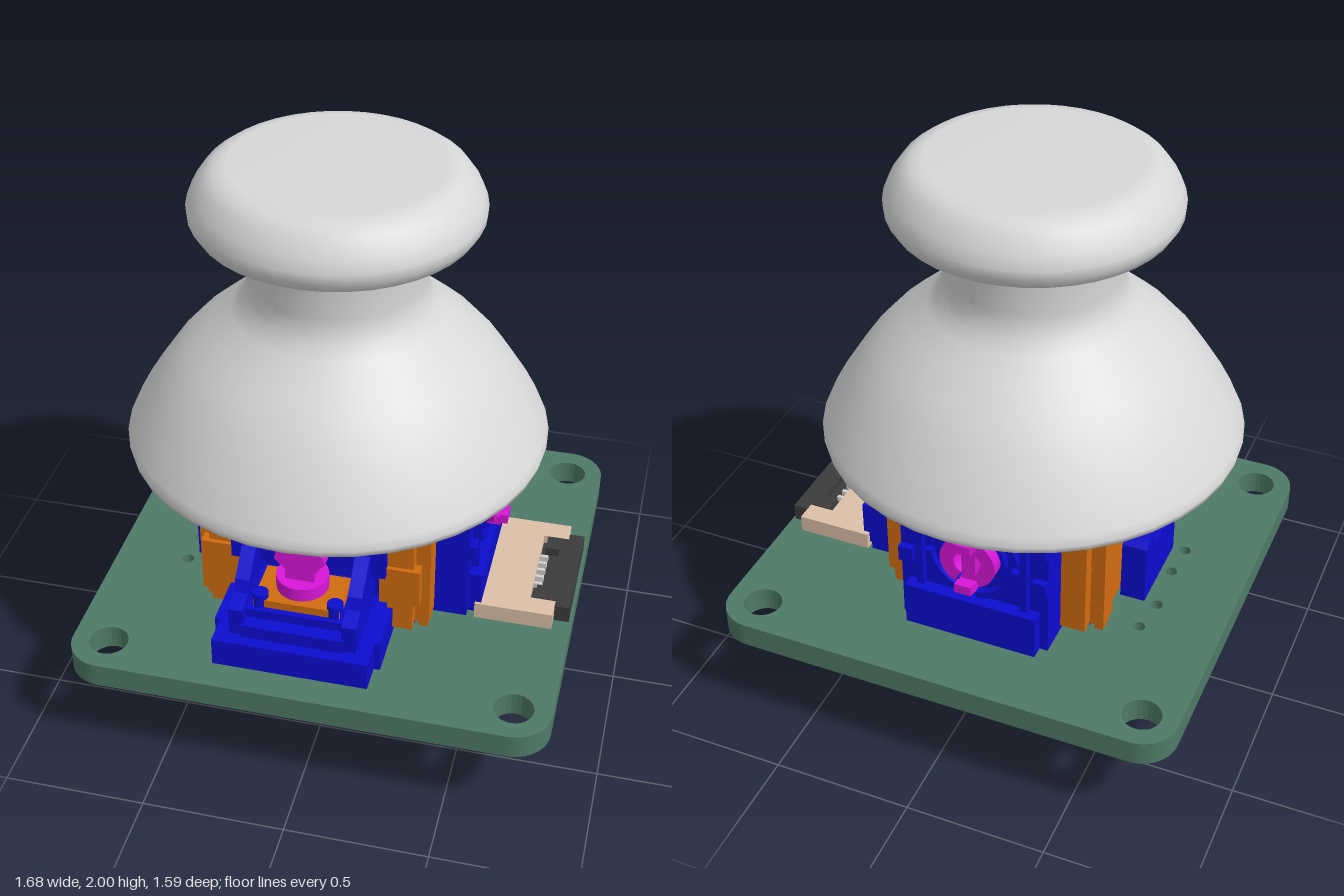
import * as THREE from 'three';

const mat = (name, color, side = THREE.FrontSide) => {
  const m = new THREE.MeshStandardMaterial({ color, side });
  m.name = name;
  return m;
};

export function createModel() {
  const grey = mat('cap grey', 0xd8d8d8, THREE.DoubleSide);
  const green = mat('board green', 0x4f7a66);
  const blue = mat('housing blue', 0x0c0cd0);
  const orange = mat('frame orange', 0xd06c10);
  const pink = mat('rotor magenta', 0xd816d8);
  const gold = mat('pin gold', 0xc0a03a);
  const beige = mat('connector beige', 0xdcc0a8);
  const black = mat('connector black', 0x3c3c3c);
  const silver = mat('terminal silver', 0xd2d2d2);

  const add = (parent, name, geo, material) => {
    const m = new THREE.Mesh(geo, material);
    m.name = name;
    parent.add(m);
    return m;
  };
  const box = (parent, name, material, x0, x1, y0, y1, z0, z1) => {
    const g = new THREE.BoxGeometry(x1 - x0, y1 - y0, z1 - z0);
    g.translate((x0 + x1) / 2, (y0 + y1) / 2, (z0 + z1) / 2);
    return add(parent, name, g, material);
  };
  const poly = pts => new THREE.Shape(pts.map(p => new THREE.Vector2(p[0], p[1])));
  const extrude = (shape, depth, curveSegments = 12) =>
    new THREE.ExtrudeGeometry(shape, { depth, bevelEnabled: false, curveSegments });
  const circle = (x, y, r) => new THREE.Path().absarc(x, y, r, 0, Math.PI * 2, true);
  // arc-shaped rib, standing out along +z
  const arcRib = (r0, r1, a0, a1, depth) => {
    const s = new THREE.Shape();
    s.absarc(0, 0, r1, a0, a1, false);
    s.absarc(0, 0, r0, a1, a0, true);
    s.closePath();
    return extrude(s, depth, 16);
  };

  const model = new THREE.Group();
  model.name = 'thumbstick module';

  // Circuit board with rounded corners, mounting holes and pin holes
  const W = 0.84, D = 0.797, R = 0.13;
  const b = new THREE.Shape();
  b.absarc(W - R, D - R, R, 0, Math.PI / 2);
  b.absarc(-W + R, D - R, R, Math.PI / 2, Math.PI);
  b.absarc(-W + R, -D + R, R, Math.PI, Math.PI * 1.5);
  b.absarc(W - R, -D + R, R, Math.PI * 1.5, Math.PI * 2);
  b.closePath();
  for (const x of [-0.71, 0.71]) for (const z of [-0.665, 0.665]) b.holes.push(circle(x, z, 0.068));
  for (const [x, z] of [[-0.56, -0.27], [-0.58, -0.14], [-0.57, 0.05], [-0.58, 0.18]])
    b.holes.push(circle(x, z, 0.022));
  const bg = extrude(b, 0.09);
  bg.rotateX(Math.PI / 2);
  bg.translate(0, 0.41, 0);
  add(model, 'board', bg, green);

  // Joystick, centred on its own axis
  const stick = new THREE.Group();
  stick.name = 'joystick';
  stick.position.x = -0.05;
  model.add(stick);

  // Cap: hollow dome, neck and knob in one profile
  const profile = [[0, 1.42], [0.3, 1.42], [0.42, 1.34], [0.53, 1.22], [0.61, 1.1], [0.66, 0.985],
    [0.675, 0.97], [0.705, 0.97], [0.728, 0.982], [0.733, 1.005], [0.72, 1.035], [0.68, 1.11], [0.63, 1.19],
    [0.575, 1.27], [0.51, 1.345], [0.43, 1.415], [0.36, 1.475], [0.325, 1.515], [0.308, 1.56], [0.304, 1.6],
    [0.304, 1.71], [0.312, 1.745], [0.335, 1.765], [0.38, 1.77], [0.425, 1.778], [0.465, 1.8], [0.486, 1.835],
    [0.488, 1.87], [0.47, 1.915], [0.435, 1.965], [0.4, 1.99], [0.355, 2], [0, 2]];
  add(stick, 'cap', new THREE.LatheGeometry(profile.map(p => new THREE.Vector2(p[0], p[1])), 40), grey);
  const shaft = new THREE.CylinderGeometry(0.12, 0.12, 0.42, 20);
  shaft.translate(0, 1.22, 0);
  add(stick, 'shaft', shaft, blue);

  // Core and sheet-metal frame
  box(stick, 'core', blue, -0.36, 0.36, 0.44, 1.05, -0.36, 0.36);
  box(stick, 'frameTop', orange, -0.385, 0.385, 1.05, 1.08, -0.385, 0.385);
  box(stick, 'frameLeftWall', orange, -0.4, -0.36, 0.47, 1.06, -0.36, 0.36);
  for (let i = 0; i < 4; i++) {
    const face = new THREE.Group();
    face.name = 'frameFace';
    face.rotation.y = i * Math.PI / 2;
    stick.add(face);
    for (const s of [-1, 1]) {
      const col = (name, a, c, y0, y1, z0, z1) =>
        box(face, name, orange, Math.min(s * a, s * c), Math.max(s * a, s * c), y0, y1, z0, z1);
      col('frameColumn', 0.27, 0.36, 0.45, 1.06, 0.35, 0.41);
      if (i === 0) col('frameTab', 0.245, 0.385, 0.57, 0.72, 0.38, 0.425);
    }
  }
  for (const x of [-0.385, 0.385]) for (const z of [-0.305, 0.305]) {
    box(stick, 'frameLeg', orange, x - 0.016, x + 0.016, 0.285, 1.05, z - 0.032, z + 0.032);
    box(stick, 'frameLegTip', orange, x - 0.012, x + 0.012, 0.26, 0.29, z - 0.022, z + 0.022);
  }

  // Silver terminal pin with a narrow tip
  const terminal = (parent, x, z, wide) => {
    box(parent, 'terminal', silver, x - wide, x + wide, 0.285, 0.46, z - 0.008, z + 0.008);
    box(parent, 'terminalTip', silver, x - wide * 0.6, x + wide * 0.6, 0.24, 0.285, z - 0.008, z + 0.008);
  };

  // Two sensors, on the +x and -z faces
  for (const [name, turn] of [['leftSensor', Math.PI / 2], ['backSensor', Math.PI]]) {
    const g = new THREE.Group();
    g.name = name;
    g.rotation.y = turn;
    stick.add(g);
    const body = extrude(poly([[-0.27, 0.43], [0.27, 0.43], [0.27, 0.97], [0.2, 1.03], [-0.2, 1.03], [-0.27, 0.97]]), 0.145);
    body.translate(0, 0, 0.38);
    add(g, 'sensorBody', body, blue);
    box(g, 'sensorBase', blue, -0.24, 0.24, 0.43, 0.595, 0.4, 0.572);
    for (const s of [-1, 1]) {
      for (const y of [0.68, 0.84]) box(g, 'sensorClip', blue, s * 0.245 - 0.025, s * 0.245 + 0.025, y, y + 0.06, 0.5, 0.55);
      box(g, 'sensorRib', blue, s * 0.19 - 0.012, s * 0.19 + 0.012, 0.6, 0.97, 0.52, 0.55);
    }
    const dial = new THREE.Group();
    dial.name = 'sensorDial';
    dial.position.set(0, 0.775, 0.52);
    g.add(dial);
    for (let k = 0; k < 4; k++) {
      const a = k * Math.PI / 2 + 0.1;
      add(dial, 'outerRing', arcRib(0.145, 0.17, a, a + 1.37, 0.03), blue);
    }
    add(dial, 'innerRing', arcRib(0.11, 0.125, 0, Math.PI * 2 - 0.001, 0.03), blue);
    // Magenta rotor: curved lips and a centre bar
    for (const a of [0, Math.PI])
      add(dial, 'rotorLip', arcRib(0.05, 0.1, a - 1.1, a + 1.1, 0.06), pink);
    for (const s of [-1, 1]) {
      box(dial, 'rotorHook', pink, -0.03, 0.03, s * 0.095 - 0.018, s * 0.095 + 0.018, 0, 0.075);
      box(dial, 'rotorHookEnd', pink, -0.03, 0.03, s * 0.085 - 0.018, s * 0.085 + 0.018, 0.07, 0.1);
    }
    box(dial, 'rotorBar', pink, -0.025, 0.025, -0.09, 0.09, 0, 0.05);
    for (const x of [-0.153, 0, 0.153]) terminal(g, x, 0.535, 0.024);
  }

  // Front wall and push switch
  box(stick, 'frontWall', blue, -0.27, 0.27, 0.69, 1.05, 0.35, 0.445);
  box(stick, 'switchBase', blue, -0.27, 0.27, 0.43, 0.535, 0.38, 0.71);
  box(stick, 'switchFoot', blue, -0.29, 0.29, 0.42, 0.535, 0.36, 0.6);
  box(stick, 'switchBlock', blue, -0.2, 0.2, 0.535, 0.62, 0.38, 0.62);
  box(stick, 'switchStep', blue, -0.18, 0.18, 0.535, 0.585, 0.6, 0.67);
  box(stick, 'switchSpring', orange, -0.15, 0.15, 0.62, 0.65, 0.42, 0.6);
  for (const s of [-1, 1]) {
    const cheek = extrude(poly([[0.38, 0.53], [0.66, 0.53], [0.66, 0.64], [0.59, 0.66], [0.57, 0.7], [0.46, 0.79], [0.38, 0.79]]), 0.05);
    cheek.rotateY(-Math.PI / 2);
    cheek.translate(s * 0.195 + 0.025, 0, 0);
    add(stick, 'switchCheek', cheek, blue);
    const peg = new THREE.CylinderGeometry(0.028, 0.028, 0.06, 12);
    peg.translate(s * 0.13, 0.64, 0.58);
    add(stick, 'switchPeg', peg, blue);
    terminal(stick, s * 0.185, 0.63, 0.014);
  }

  // Magenta levers on the front and -x faces
  const lever = extrude(poly([[-0.05, 0.72], [0.05, 0.72], [0.05, 0.76], [0.088, 0.8], [0.08, 0.83], [0.06, 0.84],
    [0.055, 0.895], [-0.055, 0.895], [-0.06, 0.84], [-0.08, 0.83], [-0.088, 0.8], [-0.05, 0.76]]), 0.12);
  lever.translate(0, 0, 0.43);
  add(stick, 'frontLever', lever, pink);
  const foot = new THREE.CylinderGeometry(0.09, 0.09, 0.05, 20);
  foot.translate(0, 0.695, 0.51);
  add(stick, 'frontLeverFoot', foot, pink);
  box(stick, 'sideLever', pink, -0.46, -0.38, 0.7, 0.84, -0.06, 0.06);

  // Notched bracket on the -x face
  const bracket = extrude(poly([[-0.16, 0.43], [0.16, 0.43], [0.16, 0.66], [0.13, 0.69], [0.08, 0.69], [0.06, 0.62],
    [-0.06, 0.62], [-0.08, 0.69], [-0.13, 0.69], [-0.16, 0.66]]), 0.09);
  bracket.rotateY(-Math.PI / 2);
  bracket.translate(-0.4, 0, 0);
  add(stick, 'sideBracket', bracket, blue);

  // Gold header pins under the board
  for (const x of [-0.153, 0, 0.153]) for (const z of [0.13, 0.343]) {
    const pin = (name, h, y0, y1) => box(stick, name, gold, x - h, x + h, y0, y1, z - h, z + h);
    pin('pinTip', 0.027, 0, 0.1);
    pin('pinBody', 0.046, 0.1, 0.28);
    pin('pinCollar', 0.06, 0.28, 0.308);
    pin('pinTop', 0.04, 0.308, 0.33);
  }

  // Flat cable connector on the +x edge
  const con = new THREE.Group();
  con.name = 'connector';
  model.add(con);
  box(con, 'connectorBody', beige, 0.5, 0.685, 0.41, 0.473, -0.258, 0.25);
  for (const [z0, z1] of [[-0.258, -0.18], [0.172, 0.25]])
    box(con, 'connectorEar', beige, 0.685, 0.775, 0.41, 0.473, z0, z1);
  box(con, 'connectorFloor', black, 0.685, 0.76, 0.41, 0.44, -0.18, 0.172);
  box(con, 'connectorLatch', black, 0.75, 0.83, 0.41, 0.474, -0.11, 0.1);
  for (const [z0, z1] of [[-0.178, -0.11], [0.1, 0.17]])
    box(con, 'connectorSide', black, 0.7, 0.83, 0.41, 0.474, z0, z1);
  for (const [z0, z1] of [[-0.208, -0.178], [0.17, 0.2]])
    box(con, 'latchWing', black, 0.776, 0.83, 0.41, 0.474, z0, z1);
  for (let i = 0; i < 5; i++) {
    const z = -0.08 + i * 0.038;
    box(con, 'contact', silver, 0.685, 0.715, 0.44, 0.46, z - 0.007, z + 0.007);
  }
  return model;
}
